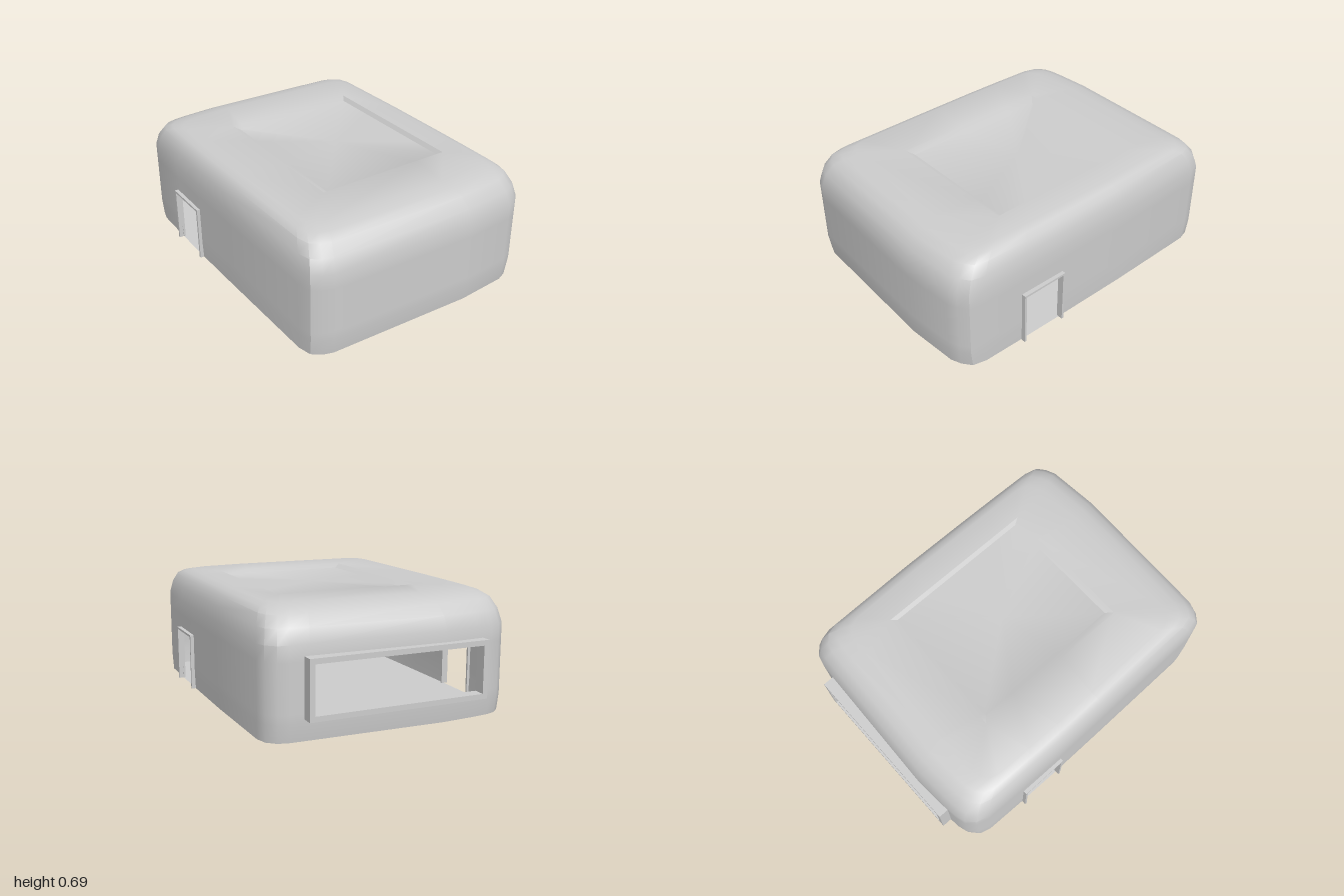
import * as THREE from 'three';
import { toCreasedNormals } from 'three/addons/utils/BufferGeometryUtils.js';

const material = new THREE.MeshStandardMaterial({ color: 0xcccccc, side: THREE.DoubleSide });

// Plan outline [x, z], running along the front, +x side, back and -x side
const outline = [
  [-0.60, 0.97], [0.29, 1.0], [0.60, 0.975], [0.66, 0.95], [0.71, 0.91], [0.73, 0.83],
  [0.735, 0.56], [0.738, 0.29], [0.74, -0.2], [0.73, -0.80], [0.71, -0.87], [0.66, -0.915],
  [0.60, -0.93], [0.49, -0.934], [-0.3, -0.957], [-0.51, -0.943], [-0.60, -0.933],
  [-0.66, -0.915], [-0.71, -0.87], [-0.73, -0.80], [-0.737, -0.52], [-0.74, -0.25],
  [-0.738, 0.1], [-0.73, 0.83], [-0.71, 0.91], [-0.66, 0.95],
];

// Levels [y, inset in x, inset in z]
const levels = [
  [0, 0.004, 0.014], [0.1, 0, 0], [0.15, 0, 0], [0.33, 0, 0], [0.42, 0, 0], [0.51, 0, 0],
  [0.59, 0.015, 0.03], [0.65, 0.04, 0.08], [0.675, 0.07, 0.14], [0.69, 0.11, 0.22],
];

const clamp = THREE.MathUtils.clamp;

function makeRings() {
  const rings = levels.map(([y, ix, iz]) => outline.map(([x, z]) =>
    new THREE.Vector3(x * (1 - ix / 0.74), y, 0.02 + (z - 0.02) * (1 - iz / 0.98))));
  // rim and floor of the sunken rectangle in the lid
  for (const [x0, x1, z0, z1, y] of [[-0.36, 0.48, -0.48, 0.52, 0.69], [-0.32, 0.46, -0.445, 0.485, 0.668]]) {
    rings.push(outline.map(([x, z]) => new THREE.Vector3(clamp(x, x0, x1), y, clamp(z, z0, z1))));
  }
  return rings;
}

// Wall openings: the back window and the two side notches
function isOpening(p) {
  if (p.z < -0.92 && p.x > -0.5 && p.x < 0.49) return p.y > 0.15 && p.y < 0.42;
  if (p.x > 0.72 && p.z > 0.3 && p.z < 0.55) return p.y < 0.33;
  if (p.x < -0.72 && p.z > -0.51 && p.z < -0.26) return p.y < 0.33;
  return false;
}

function shellGeometry() {
  const rings = makeRings(), pos = [], n = outline.length;
  const ab = new THREE.Vector3(), ac = new THREE.Vector3();
  const tri = (a, b, c) => {
    ab.subVectors(b, a); ac.subVectors(c, a);
    if (ab.cross(ac).length() > 1e-7) for (const p of [a, b, c]) pos.push(p.x, p.y, p.z);
  };
  for (let j = 0; j < rings.length - 1; j++) {
    for (let i = 0; i < n; i++) {
      const k = (i + 1) % n;
      const [a, b, c, d] = [rings[j][i], rings[j][k], rings[j + 1][k], rings[j + 1][i]];
      const mid = a.clone().add(b).add(c).add(d).multiplyScalar(0.25);
      if (isOpening(mid)) continue;
      tri(a, b, c);
      tri(a, c, d);
    }
  }
  // underside and lid panel
  const base = new THREE.Vector3(0, 0, 0.02), lid = new THREE.Vector3(0.07, 0.668, 0.02);
  const last = rings[rings.length - 1];
  for (let i = 0; i < n; i++) {
    const k = (i + 1) % n;
    tri(base, rings[0][k], rings[0][i]);
    tri(lid, last[i], last[k]);
  }
  const geo = new THREE.BufferGeometry();
  geo.setAttribute('position', new THREE.Float32BufferAttribute(pos, 3));
  return toCreasedNormals(geo, 0.6);
}

// Rectangular frame in the xy plane, centred on x; an open foot makes it an arch
function frameGeometry(width, y0, y1, wall, depth, openFoot) {
  const w = width / 2, v = w - wall, foot = openFoot ? y0 : y0 + wall;
  const pts = (list) => list.map(([x, y]) => new THREE.Vector2(x, y));
  let shape;
  if (openFoot) {
    shape = new THREE.Shape(pts([[-w, y0], [-v, foot], [-v, y1 - wall], [v, y1 - wall],
      [v, foot], [w, y0], [w, y1], [-w, y1]]));
  } else {
    shape = new THREE.Shape(pts([[-w, y0], [w, y0], [w, y1], [-w, y1]]));
    shape.holes.push(new THREE.Path(pts([[-v, foot], [-v, y1 - wall], [v, y1 - wall], [v, foot]])));
  }
  return new THREE.ExtrudeGeometry(shape, { depth, bevelEnabled: false });
}

export function createModel() {
  const group = new THREE.Group();
  const add = (name, geo) => {
    const mesh = new THREE.Mesh(geo, material);
    mesh.name = name;
    group.add(mesh);
    return mesh;
  };

  add('shell', shellGeometry());

  // Window frame on the back
  add('backWindowFrame', frameGeometry(1.06, 0.12, 0.45, 0.03, 0.07, false)).position.set(-0.01, 0, -1);

  // Notch frames on the sides
  for (const [name, side, z] of [['leftNotchFrame', 1, 0.425], ['rightNotchFrame', -1, -0.385]]) {
    const frame = add(name, frameGeometry(0.295, 0, 0.337, 0.013, 0.04, true));
    frame.rotation.y = side * Math.PI / 2;
    frame.position.set(side * 0.72, 0, z);
  }
  return group;
}
